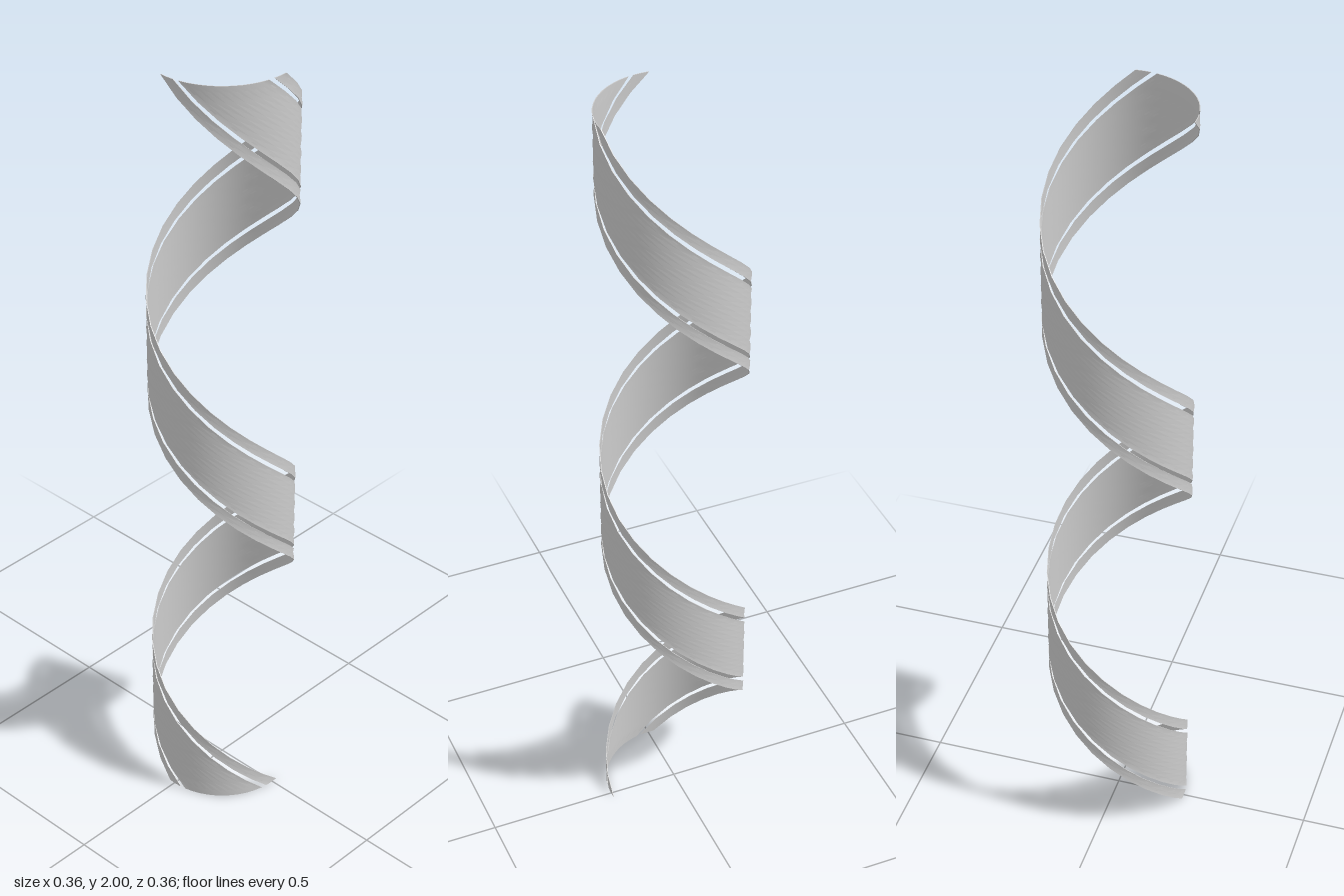
import * as THREE from 'three';
import { toCreasedNormals } from 'three/addons/utils/BufferGeometryUtils.js';

const HEIGHT = 2, TURNS = 2, STEPS = 48;
const OUTER = 0.178, INNER = 0.176;
const rad = THREE.MathUtils.degToRad;

// Thin arc-shaped section, extruded upwards and twisted into a helical strip
function helixStrip(name, fromDeg, toDeg, segments, material) {
  const points = [];
  const arc = (r, i) => {
    const a = rad(-135 + fromDeg + (toDeg - fromDeg) * i / segments);
    points.push(new THREE.Vector2(r * Math.cos(a), r * Math.sin(a)));
  };
  for (let i = 0; i <= segments; i++) arc(OUTER, i);
  for (let i = segments; i >= 0; i--) arc(INNER, i);

  const geometry = new THREE.ExtrudeGeometry(new THREE.Shape(points), {
    depth: HEIGHT, steps: STEPS, bevelEnabled: false,
  });
  geometry.rotateX(-Math.PI / 2);

  // Twist each level around the vertical axis
  const pos = geometry.attributes.position;
  const up = new THREE.Vector3(0, 1, 0);
  const v = new THREE.Vector3();
  for (let i = 0; i < pos.count; i++) {
    v.fromBufferAttribute(pos, i);
    v.applyAxisAngle(up, -2 * Math.PI * TURNS * v.y / HEIGHT);
    pos.setXYZ(i, v.x, v.y, v.z);
  }
  const mesh = new THREE.Mesh(toCreasedNormals(geometry, 0.6), material);
  mesh.name = name;
  return mesh;
}

export function createModel() {
  const group = new THREE.Group();
  group.name = 'helicalRibbon';
  const material = new THREE.MeshStandardMaterial({ color: 0xcccccc, side: THREE.DoubleSide });

  // Wide central band with a narrow border strip along each edge
  group.add(
    helixStrip('mainBand', -33.5, 33.5, 10, material),
    helixStrip('lowerBorder', -50, -38, 2, material),
    helixStrip('upperBorder', 38, 50, 2, material),
  );
  return group;
}
